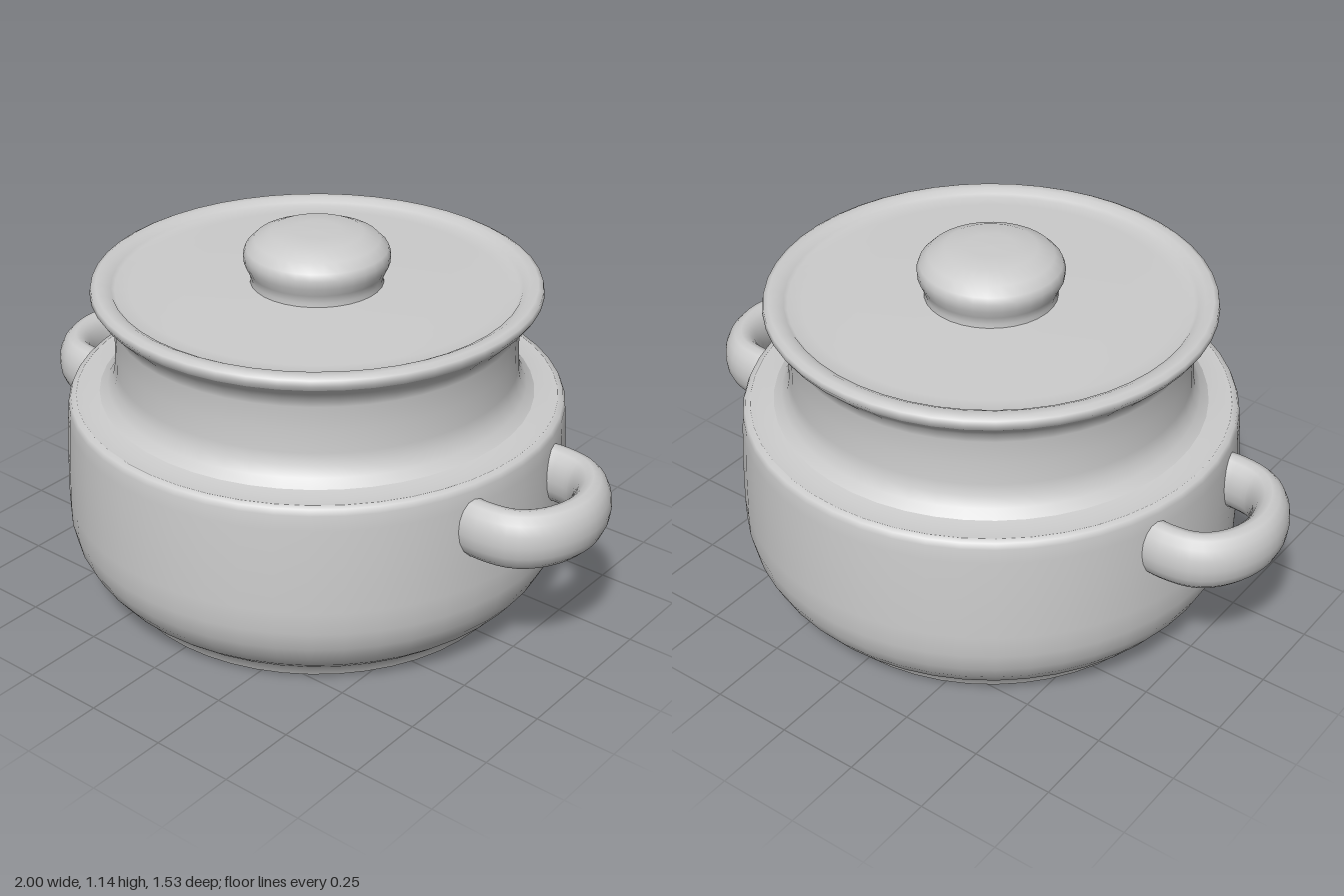
import * as THREE from 'three';

const material = new THREE.MeshStandardMaterial({ color: 0xcccccc });

function add(parent, name, geometry) {
  const mesh = new THREE.Mesh(geometry, material);
  mesh.name = name;
  parent.add(mesh);
  return mesh;
}

// Turned part; profile of [radius, y] runs from the bottom up
function turned(profile, segments = 48) {
  return new THREE.LatheGeometry(profile.map(([r, y]) => new THREE.Vector2(r, y)), segments);
}

// Half-loop handle with a tall oval section, sunk into the pot wall
function handleGeometry(side) {
  const path = new THREE.CatmullRomCurve3([
    [0.66, -0.19], [0.76, -0.2], [0.85, -0.18], [0.915, -0.11], [0.943, 0],
    [0.915, 0.11], [0.85, 0.18], [0.76, 0.2], [0.66, 0.19],
  ].map(([x, z]) => new THREE.Vector3(side * x, 0, z)));
  return new THREE.TubeGeometry(path, 32, 0.057, 16, false).scale(1, 1.57, 1).translate(0, 0.5, 0);
}

export function createModel() {
  const group = new THREE.Group();

  // Pot: flat base, rounded belly, shoulder
  add(group, 'base', turned([[0, 0], [0.615, 0]]));
  add(group, 'belly', turned([
    [0.615, 0], [0.63, 0.035], [0.655, 0.055], [0.69, 0.085], [0.725, 0.13],
    [0.75, 0.18], [0.763, 0.24], [0.764, 0.31], [0.76, 0.45], [0.753, 0.57],
    [0.749, 0.615], [0.742, 0.632], [0.725, 0.636],
  ]));
  add(group, 'shoulder', turned([[0.725, 0.636], [0.69, 0.636], [0.655, 0.643]]));

  // Neck flaring out to the rim
  add(group, 'neck', turned([
    [0.655, 0.643], [0.63, 0.665], [0.612, 0.695], [0.605, 0.73], [0.602, 0.8],
    [0.602, 0.87], [0.61, 0.9], [0.635, 0.925], [0.66, 0.95],
  ]));
  add(group, 'rim', turned([
    [0.655, 0.945], [0.668, 0.965], [0.665, 0.982], [0.65, 0.99], [0.625, 0.989], [0.605, 0.978],
  ]));

  // Lid and its knob
  const lid = new THREE.Group();
  lid.name = 'lid';
  group.add(lid);
  add(lid, 'lidPlate', turned([
    [0.61, 0.98], [0.595, 0.97], [0.55, 0.969], [0.4, 0.973], [0.26, 0.977], [0, 0.98],
  ]));
  add(lid, 'knob', turned([
    [0.2, 0.965], [0.195, 0.99], [0.203, 1.015], [0.215, 1.04], [0.217, 1.065],
    [0.21, 1.085], [0.185, 1.11], [0.135, 1.132], [0.07, 1.136], [0, 1.137],
  ], 32));

  // Side handles
  add(group, 'leftHandle', handleGeometry(1));
  add(group, 'rightHandle', handleGeometry(-1));

  return group;
}
